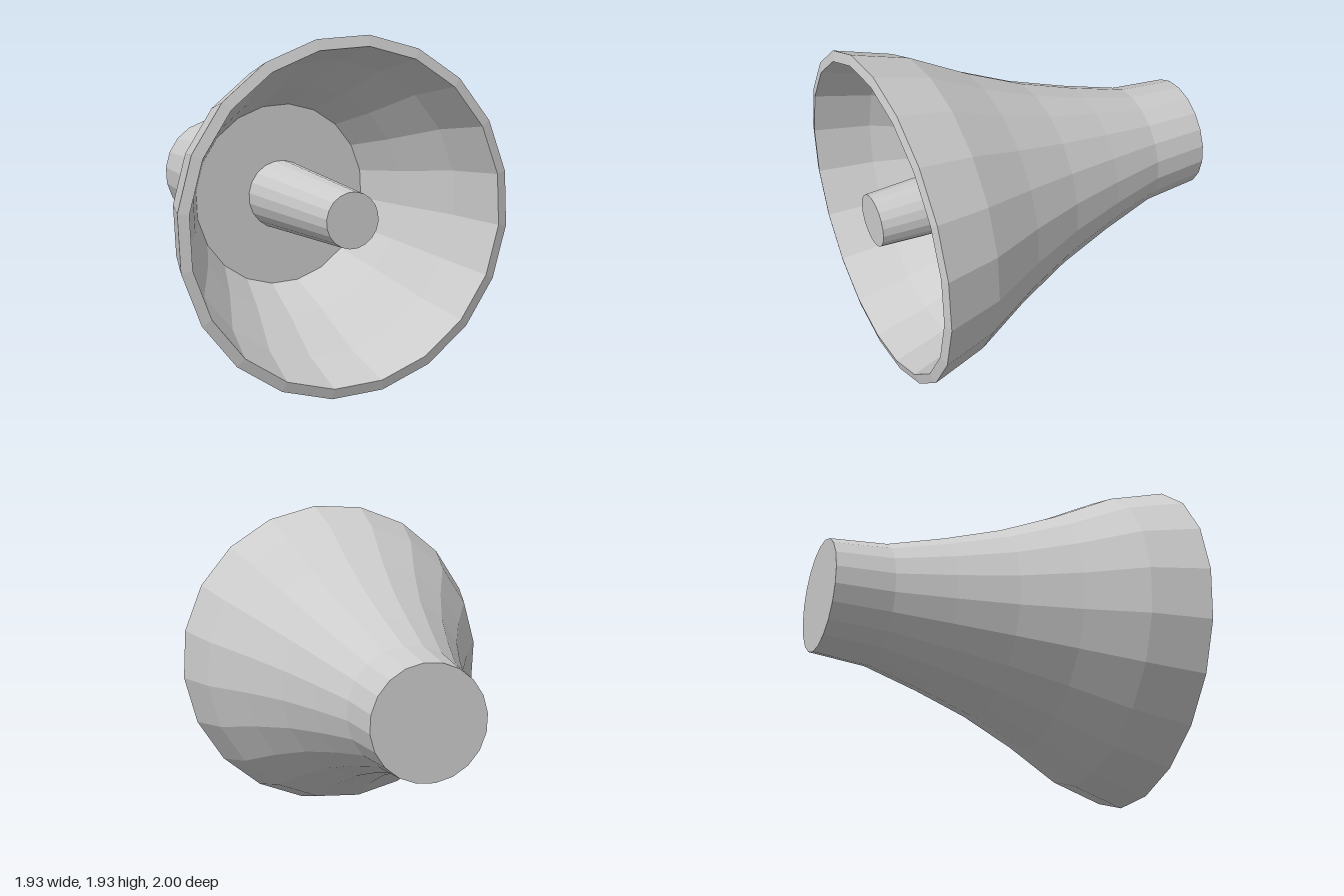
import * as THREE from 'three';

const SIDES = 20;
const TWIST = THREE.MathUtils.degToRad(12.1);
const CENTRE_Y = 0.975;

// Revolves a [radius, z] profile around the front-back axis
function revolve(name, profile, material) {
  const points = profile.map(([r, z]) => new THREE.Vector2(r, z));
  const geometry = new THREE.LatheGeometry(points, SIDES, TWIST, Math.PI * 2);
  geometry.rotateX(Math.PI / 2);
  const mesh = new THREE.Mesh(geometry, material);
  mesh.name = name;
  mesh.position.y = CENTRE_Y;
  return mesh;
}

export function createModel() {
  const group = new THREE.Group();
  group.name = 'bell';
  const grey = new THREE.MeshStandardMaterial({ color: 0xcccccc, flatShading: true });

  // Flared shell: closed back cap, outer wall, rim, then the inner wall
  group.add(revolve('bellShell', [
    [0, -1], [0.327, -1], [0.356, -0.665], [0.45, -0.335], [0.56, -0.005],
    [0.703, 0.32], [0.875, 0.648], [0.971, 0.975],
    [0.912, 0.99], [0.82, 0.67], [0.648, 0.345], [0.505, 0.02],
  ], grey));

  // Flat wall closing the inside of the bell
  group.add(revolve('innerWall', [[0.575, 0.075], [0, 0.075]], grey));

  // Tapered rod standing on the wall, ending level with the rim
  group.add(revolve('centreRod', [[0.2, 0.07], [0.153, 1], [0, 1]], grey));

  return group;
}
